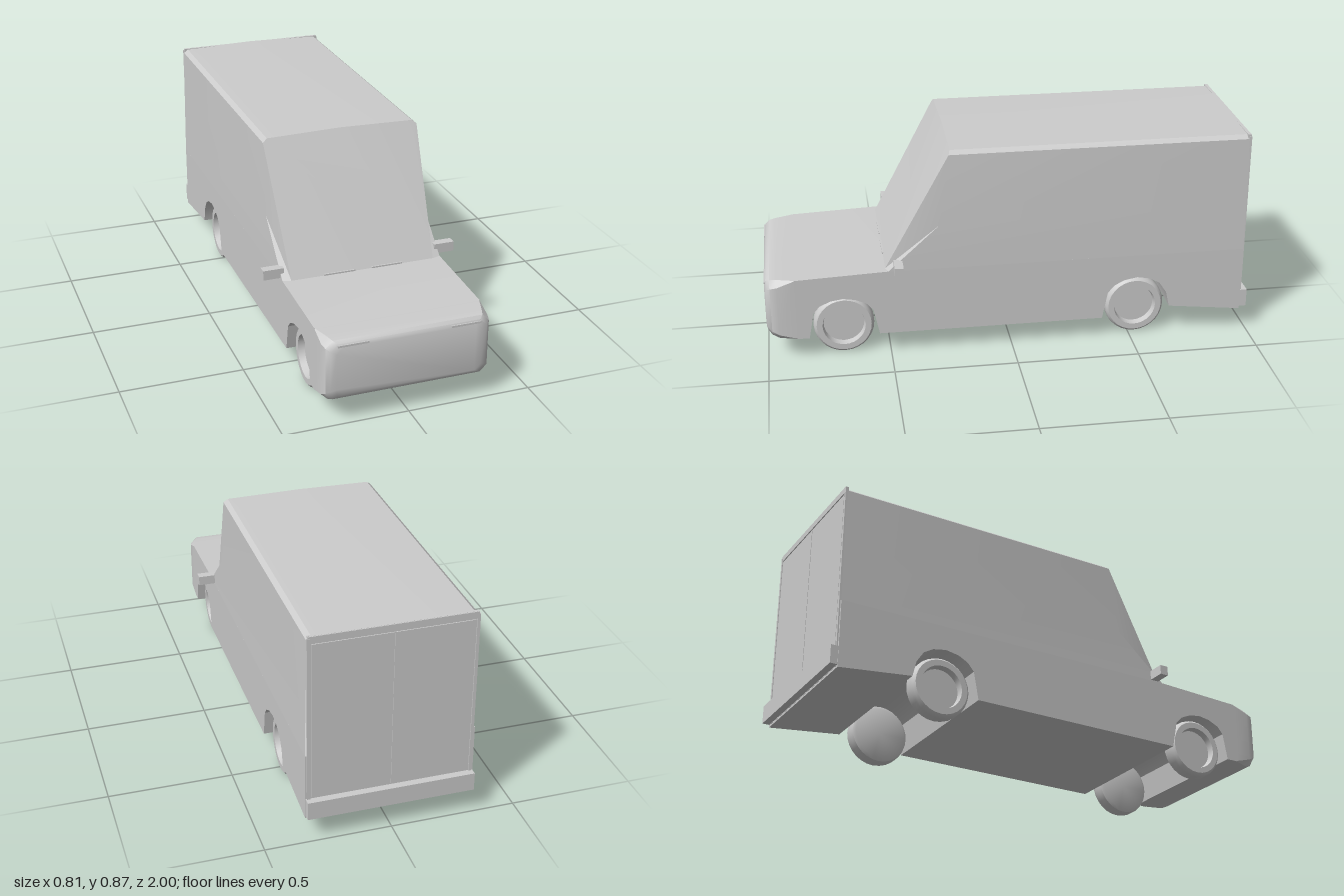
import * as THREE from 'three';
import { toCreasedNormals } from 'three/addons/utils/BufferGeometryUtils.js';

const paint = new THREE.MeshStandardMaterial({ color: 0xcccccc });
paint.name = 'greyPaint';

function addMesh(parent, name, geometry) {
  const mesh = new THREE.Mesh(geometry, paint);
  mesh.name = name;
  parent.add(mesh);
  return mesh;
}

function addBox(parent, name, size, position) {
  const mesh = addMesh(parent, name, new THREE.BoxGeometry(...size));
  mesh.position.set(...position);
  return mesh;
}

function fromTriangles(triangles, crease) {
  const geometry = new THREE.BufferGeometry();
  geometry.setAttribute('position', new THREE.Float32BufferAttribute(triangles.flat(2), 3));
  geometry.computeVertexNormals();
  return toCreasedNormals(geometry, crease);
}

// Joins two matching outlines, rear one first, with quads
function skin(rear, front, closed) {
  const out = [];
  const n = rear.length;
  for (let i = 0; i < (closed ? n : n - 1); i++) {
    const j = (i + 1) % n;
    out.push([front[i], rear[i], rear[j]], [front[i], rear[j], front[j]]);
  }
  return out;
}

// Lower body: side outline in (z, y) with wheel arches, extruded across the width
function lowerBody() {
  const half = 0.334;
  const outline = [
    [0.88, 0.352], [0.51, 0.367], [-0.97, 0.367], [-0.97, 0.09], [-0.665, 0.125],
    [-0.65, 0.19], [-0.62, 0.235], [-0.58, 0.258], [-0.525, 0.268], [-0.47, 0.258],
    [-0.43, 0.237], [-0.402, 0.205], [-0.38, 0.09],
    [0.545, 0.09], [0.568, 0.2], [0.595, 0.23], [0.64, 0.25], [0.69, 0.258],
    [0.74, 0.25], [0.785, 0.23], [0.81, 0.2], [0.83, 0.09], [0.88, 0.09],
  ].map(([z, y]) => new THREE.Vector2(z, y));
  const geometry = new THREE.ExtrudeGeometry(new THREE.Shape(outline), {
    depth: 2 * half, bevelEnabled: false,
  });
  geometry.rotateY(-Math.PI / 2).translate(half, 0, 0);
  return toCreasedNormals(geometry, 0.5);
}

// Nose: chamfered rectangles shrinking towards the front
function nose() {
  const ring = ([z, w, y0, y1, c]) => [
    [w - c, y0, z], [w, y0 + c, z], [w, y1 - c, z], [w - c, y1, z],
    [c - w, y1, z], [-w, y1 - c, z], [-w, y0 + c, z], [c - w, y0, z],
  ];
  const rings = [
    [0.88, 0.334, 0.09, 0.352, 0.002],
    [0.95, 0.334, 0.088, 0.35, 0.025],
    [0.978, 0.327, 0.1, 0.346, 0.028],
    [0.993, 0.312, 0.114, 0.337, 0.028],
    [1.0, 0.29, 0.125, 0.322, 0.025],
  ].map(ring);
  const triangles = [];
  for (let i = 0; i < rings.length - 1; i++) triangles.push(...skin(rings[i], rings[i + 1], true));
  const face = rings[rings.length - 1];
  for (let i = 1; i < 7; i++) triangles.push([face[0], face[i], face[i + 1]]);
  return fromTriangles(triangles, 0.7);
}

// Cabin: crowned roof and sides, raked windscreen with folded pillars
function cabin() {
  const mirror = ([x, y, z]) => [-x, y, z];
  const side = [
    [0.334, 0.365, 0.505], [0.331, 0.558, 0.29], [0.326, 0.85, 0.252], [0.308, 0.865, 0.246],
  ];
  const front = [...side, [0, 0.871, 0.243], ...side.map(mirror).reverse()];
  const rear = front.map(([x, y]) => [x, y, -0.97]);
  const base = [0.3, 0.367, 0.513];
  const baseR = mirror(base);
  const triangles = skin(rear, front, false);
  for (let i = 0; i < 6; i++) triangles.push([base, front[i], front[i + 1]]);
  triangles.push([base, front[6], baseR], [baseR, front[6], front[7]], [baseR, front[7], front[8]]);
  return fromTriangles(triangles, 0.3);
}

// Wheel with a recessed rim, outer face towards +x
function wheelGeometry() {
  const profile = [
    [0, -0.035], [0.108, -0.035], [0.12, -0.028], [0.124, -0.015], [0.124, 0.015],
    [0.12, 0.028], [0.112, 0.035], [0.088, 0.035], [0.083, 0.008], [0, 0.008],
  ].map(([r, h]) => new THREE.Vector2(r, h));
  const geometry = new THREE.LatheGeometry(profile, 28);
  geometry.rotateZ(-Math.PI / 2);
  return toCreasedNormals(geometry, 0.6);
}

export function createModel() {
  const van = new THREE.Group();
  van.name = 'van';

  addMesh(van, 'lowerBody', lowerBody());
  addMesh(van, 'nose', nose());
  addMesh(van, 'cabin', cabin());

  // Rear frame, doors and bumper
  addBox(van, 'rearFrame', [0.646, 0.77, 0.01], [0, 0.483, -0.966]);
  addBox(van, 'rearHeader', [0.646, 0.025, 0.008], [0, 0.855, -0.971]);
  addBox(van, 'rearBumper', [0.664, 0.075, 0.032], [0, 0.138, -0.984]);

  const wheel = wheelGeometry();
  for (const s of [1, -1]) {
    const label = s > 0 ? 'left' : 'right';
    addBox(van, label + 'RearDoor', [0.308, 0.655, 0.006], [s * 0.156, 0.508, -0.972]);
    addBox(van, label + 'RearPost', [0.012, 0.69, 0.01], [s * 0.321, 0.515, -0.971]);
    addBox(van, label + 'Mirror', [0.085, 0.04, 0.036], [s * 0.362, 0.39, 0.463]);
    addBox(van, label + 'Headlight', [0.122, 0.008, 0.008], [s * 0.225, 0.328, 0.996]);
    addBox(van, label + 'Wiper', [0.13, 0.006, 0.008], [s * 0.1, 0.37, 0.512]);
    for (const [end, z] of [['Front', 0.688], ['Rear', -0.525]]) {
      const mesh = addMesh(van, label + end + 'Wheel', wheel);
      mesh.position.set(s * 0.27, 0.124, z);
      mesh.rotation.y = s > 0 ? 0 : Math.PI;
    }
  }
  return van;
}
